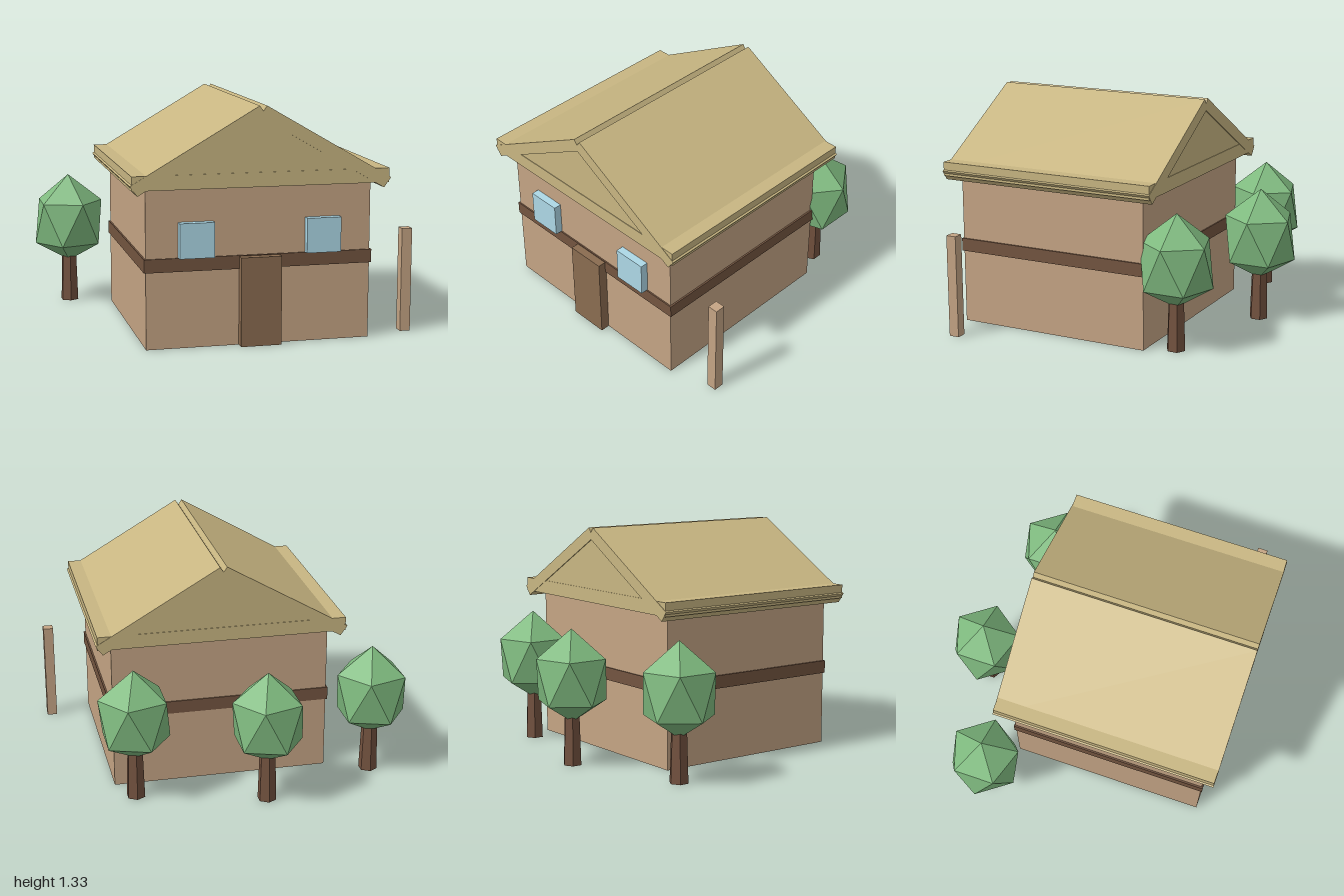
import * as THREE from 'three';
import { ConvexGeometry } from 'three/addons/geometries/ConvexGeometry.js';

const mat = (color) => new THREE.MeshStandardMaterial({ color, flatShading: true });
const wall = mat(0xc4a484), timber = mat(0x735540), doorWood = mat(0x8a6c50);
const thatch = mat(0xc8b682), glass = mat(0xadd8e6), bark = mat(0x73523f), leaf = mat(0x7fba7f);

function add(parent, name, geometry, material) {
  const mesh = new THREE.Mesh(geometry, material);
  mesh.name = name;
  parent.add(mesh);
  return mesh;
}

// Box given by its lower and upper limits on each axis
function box(parent, name, material, [x0, x1], [y0, y1], [z0, z1]) {
  const mesh = add(parent, name, new THREE.BoxGeometry(x1 - x0, y1 - y0, z1 - z0), material);
  mesh.position.set((x0 + x1) / 2, (y0 + y1) / 2, (z0 + z1) / 2);
  return mesh;
}

// Outline in x and y, extruded between two z values
function prism(parent, name, material, points, z0, z1) {
  const shape = new THREE.Shape(points.map(([x, y]) => new THREE.Vector2(x, y)));
  const geometry = new THREE.ExtrudeGeometry(shape, { depth: z1 - z0, bevelEnabled: false });
  geometry.translate(0, 0, z0);
  return add(parent, name, geometry, material);
}

// Tall twelve-cornered crown: two opposed five-sided rings between two tips
function crownGeometry() {
  const points = [new THREE.Vector3(0, 0.787, 0), new THREE.Vector3(0, 0.248, 0)];
  for (let i = 0; i < 5; i++) {
    const a = (i / 5) * Math.PI * 2;
    const x = 0.206 * Math.cos(a), z = 0.206 * Math.sin(a);
    points.push(new THREE.Vector3(x, 0.622, z), new THREE.Vector3(-x, 0.366, -z));
  }
  return new ConvexGeometry(points);
}

export function createModel() {
  const model = new THREE.Group();
  model.name = 'houseWithTrees';

  // House body with a timber band all round
  const house = new THREE.Group();
  house.name = 'house';
  model.add(house);
  box(house, 'walls', wall, [-0.55, 0.72], [0, 0.89], [-0.355, 0.82]);
  box(house, 'timberBand', timber, [-0.56, 0.73], [0.43, 0.505], [-0.362, 0.828]);
  box(house, 'door', doorWood, [-0.03, 0.2], [0, 0.5], [0.8, 0.875]);
  for (const x of [-0.37, 0.345]) {
    box(house, 'window', glass, [x, x + 0.195], [0.507, 0.702], [0.8, 0.865]);
  }

  // Roof, built around the ridge line
  const roof = new THREE.Group();
  roof.name = 'roof';
  roof.position.x = 0.085;
  house.add(roof);
  box(roof, 'roofBase', thatch, [-0.72, 0.72], [0.89, 0.97], [-0.434, 0.888]);
  prism(roof, 'gable', thatch, [[-0.52, 0.96], [0.52, 0.96], [0, 1.27]], -0.431, 0.885);
  for (const side of [-1, 1]) {
    const corners = [[0.69, 0.862], [0.73, 0.918], [0.02, 1.33], [-0.02, 1.272]];
    prism(roof, 'roofSlope', thatch, corners.map(([x, y]) => [side * x, y]), -0.437, 0.89);
  }

  // Free-standing post
  box(model, 'post', wall, [0.94, 1], [0, 0.597], [0.69, 0.75]);

  // Trees behind the house
  const crown = crownGeometry();
  const trunk = new THREE.CylinderGeometry(0.046, 0.056, 0.32, 6).translate(0, 0.16, 0);
  for (const [x, z] of [[-0.795, -0.46], [-0.11, -0.705], [0.62, -0.51]]) {
    const tree = new THREE.Group();
    tree.name = 'tree';
    tree.position.set(x, 0, z);
    add(tree, 'trunk', trunk, bark);
    add(tree, 'crown', crown, leaf);
    model.add(tree);
  }
  return model;
}
